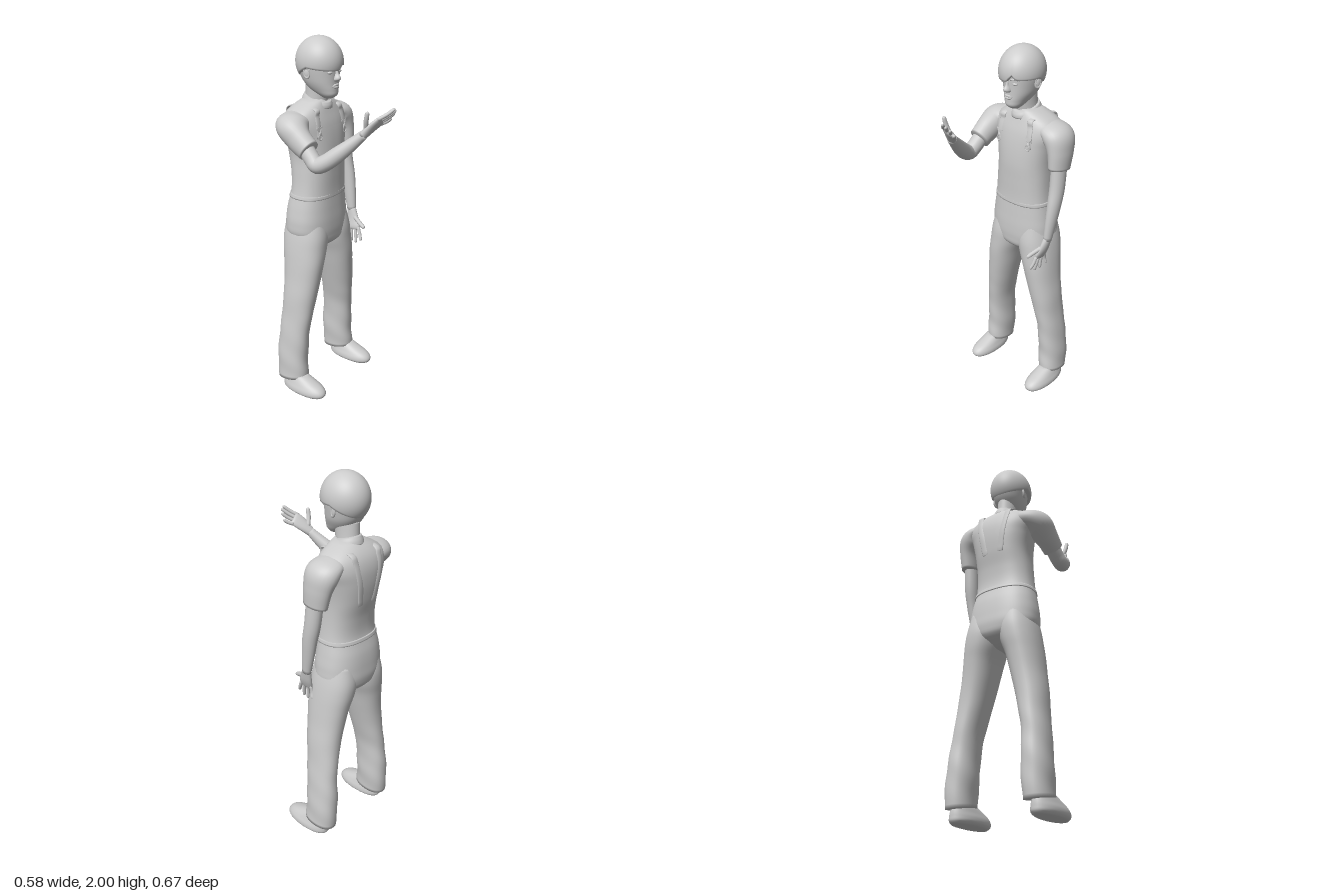
import * as THREE from 'three';
import { ParametricGeometry } from 'three/addons/geometries/ParametricGeometry.js';

const grey = new THREE.MeshStandardMaterial({ color: 0xcccccc, side: THREE.DoubleSide });
const V = (x, y, z) => new THREE.Vector3(x, y, z);

function add(parent, name, geometry) {
  const mesh = new THREE.Mesh(geometry, grey);
  mesh.name = name;
  parent.add(mesh);
  return mesh;
}

// Closed skin over rings of points, capped at both ends
function skin(rings) {
  const n = rings[0].length, pos = [], index = [];
  rings.forEach(r => r.forEach(p => pos.push(p.x, p.y, p.z)));
  for (let i = 0; i < rings.length - 1; i++) for (let j = 0; j < n; j++) {
    const a = i * n + j, b = i * n + (j + 1) % n;
    index.push(a, b, b + n, a, b + n, a + n);
  }
  [0, rings.length - 1].forEach((i, end) => {
    const c = rings[i].reduce((s, p) => s.add(p), V(0, 0, 0)).divideScalar(n);
    const k = pos.length / 3;
    pos.push(c.x, c.y, c.z);
    for (let j = 0; j < n; j++) {
      const a = i * n + j, b = i * n + (j + 1) % n;
      index.push(...(end ? [k, a, b] : [k, b, a]));
    }
  });
  const g = new THREE.BufferGeometry();
  g.setAttribute('position', new THREE.Float32BufferAttribute(pos, 3));
  g.setIndex(index);
  g.computeVertexNormals();
  return g;
}

// Smooth interpolation between rows of numbers
function rowsAt(times, rows) {
  const curve = new THREE.CubicInterpolant(times, rows.flat(), rows[0].length);
  return t => Array.from(curve.evaluate(t));
}

// Upright form; rows are [y, xMin, xMax, zMin, zMax, tilt], y rising
function loft(rows, { power = 2, steps = 24, n = 40, folds = 0 } = {}) {
  const at = rowsAt(rows.map(r => r[0]), rows.map(r => r.slice(1).concat(r.length < 6 ? [0] : [])));
  const y0 = rows[0][0], y1 = rows[rows.length - 1][0], rings = [];
  for (let i = 0; i <= steps; i++) {
    const y = y0 + (y1 - y0) * i / steps, [xa, xb, za, zb, tilt] = at(y), ring = [];
    for (let j = 0; j < n; j++) {
      const a = j / n * Math.PI * 2, c = Math.cos(a), s = -Math.sin(a);
      const k = 1 + folds * Math.sin(y * 38 + a * 2) * Math.max(0, 1 - y / 0.65);
      const e = v => Math.sign(v) * Math.abs(v) ** (2 / power) * k;
      ring.push(V((xa + xb) / 2 + (xb - xa) / 2 * e(c), y + tilt * s, (za + zb) / 2 + (zb - za) / 2 * e(s)));
    }
    rings.push(ring);
  }
  return skin(rings);
}

// Limb along a path; rows are [x, y, z, radius along ref, other radius]
function limb(rows, ref, n = 20, sub = 5) {
  const at = rowsAt(rows.map((r, i) => i), rows), last = rows.length - 1, rings = [];
  const point = t => V(...at(t).slice(0, 3));
  for (let i = 0; i <= last * sub; i++) {
    const t = i / sub, [, , , ra, rb] = at(t), p = point(t);
    const dir = point(Math.min(last, t + 0.05)).sub(point(Math.max(0, t - 0.05))).normalize();
    const side = ref.clone().addScaledVector(dir, -ref.dot(dir)).normalize();
    const up = dir.clone().cross(side);
    rings.push(Array.from({ length: n }, (_, j) => {
      const a = j / n * Math.PI * 2;
      return p.clone().addScaledVector(side, ra * Math.cos(a)).addScaledVector(up, rb * Math.sin(a));
    }));
  }
  return skin(rings);
}

function finger(parent, name, a, b, c, r) {
  add(parent, name, limb([[...a, r, r], [...b, r, r], [...b.map((v, i) => v + (c[i] - v) * 0.8), r * 0.85, r * 0.85],
    [...c, r * 0.3, r * 0.3]], V(0.3, 0.2, 0.9), 10, 4));
}

const TORSO = [
  [0.86, -0.03, 0.03, -0.24, -0.13], [0.90, -0.13, 0.13, -0.31, -0.08], [0.95, -0.185, 0.18, -0.33, -0.068],
  [1.02, -0.195, 0.185, -0.33, -0.065], [1.10, -0.185, 0.175, -0.322, -0.068], [1.2, -0.165, 0.16, -0.30, -0.072],
  [1.3, -0.155, 0.155, -0.305, -0.07], [1.4, -0.152, 0.158, -0.325, -0.068], [1.5, -0.17, 0.175, -0.335, -0.075],
  [1.57, -0.19, 0.195, -0.33, -0.087], [1.62, -0.178, 0.182, -0.312, -0.102], [1.655, -0.125, 0.128, -0.285, -0.113],
  [1.685, -0.06, 0.06, -0.25, -0.125]];
const POWER = 2.4;
const torsoAt = rowsAt(TORSO.map(r => r[0]), TORSO.map(r => r.slice(1)));

// Depth of the torso's front (+1) or back (-1) surface
function torsoZ(x, y, side) {
  const [xa, xb, za, zb] = torsoAt(y);
  const u = Math.min(1, Math.abs((x - (xa + xb) / 2) / ((xb - xa) / 2)));
  return (za + zb) / 2 + side * (zb - za) / 2 * (1 - u ** POWER) ** (1 / POWER);
}

function buildClothes(g) {
  add(g, 'torso', loft(TORSO, { power: POWER, steps: 64, n: 56 }));
  const grow = y => torsoAt(y).map((v, i) => v + (i % 2 ? 0.004 : -0.004));
  add(g, 'waistband', loft([1.165, 1.175, 1.185].map(y => [y, ...grow(y)]), { power: POWER, steps: 4, n: 56 }));
  add(g, 'bib', new ParametricGeometry((u, v, p) => {
    const y = 1.18 + v * 0.37, x = (u - 0.5) * 2 * (0.135 - 0.015 * v);
    p.set(x, y, torsoZ(x, y, 1) + 0.004);
  }, 20, 20));
  add(g, 'collar', loft([[1.65, -0.075, 0.075, -0.272, -0.1, -0.015], [1.67, -0.07, 0.07, -0.266, -0.1, -0.018],
    [1.69, -0.06, 0.06, -0.255, -0.108, -0.02]], { steps: 6 }));
  for (const s of [1, -1]) {
    const name = s > 0 ? 'left' : 'right';
    // Strap over the shoulder, closing in down the back
    const path = [[0.1, 1.5, 1], [0.099, 1.56, 1], [0.095, 1.61, 1], [0.09, 1.645, 1], [0.088, 1.645, -1],
      [0.082, 1.6, -1], [0.065, 1.5, -1], [0.045, 1.38, -1]];
    add(g, name + 'Strap', limb(path.map(([x, y, f]) => [s * x, y, torsoZ(s * x, y, f), 0.018, 0.005]), V(1, 0, 0), 12));
    // Wire buckle, button and adjuster
    const buckle = new THREE.Group();
    buckle.name = name + 'Buckle';
    buckle.position.set(s * 0.1, 1.525, torsoZ(s * 0.1, 1.525, 1) + 0.006);
    buckle.rotation.x = -0.15;
    add(buckle, 'loop', new THREE.TorusGeometry(0.014, 0.003, 6, 16)).position.y = -0.018;
    add(buckle, 'button', new THREE.SphereGeometry(0.009, 12, 8)).scale.z = 0.5;
    add(buckle, 'adjuster', new THREE.BoxGeometry(0.04, 0.007, 0.006)).position.y = 0.03;
    for (const k of [1, -1]) add(buckle, 'wire', limb([[k * 0.01, -0.01, 0, 0.003, 0.003], [k * 0.007, 0.01, 0, 0.003, 0.003],
      [k * 0.018, 0.03, 0, 0.003, 0.003]], V(0, 0, 1), 6));
    g.add(buckle);
    // Trouser leg with soft folds below the knee
    const leg = [[0.075, 0.15, 0.283, -0.312, -0.125, 0.015], [0.2, 0.142, 0.28, -0.318, -0.13, 0],
      [0.4, 0.135, 0.262, -0.303, -0.118, 0], [0.5, 0.115, 0.25, -0.298, -0.105, 0], [0.6, 0.09, 0.242, -0.295, -0.092, 0],
      [0.7, 0.065, 0.228, -0.3, -0.08, 0], [0.8, 0.04, 0.217, -0.312, -0.07, 0], [0.88, 0.012, 0.207, -0.325, -0.068, 0],
      [0.95, 0, 0.195, -0.328, -0.068, 0], [1.05, 0.01, 0.17, -0.31, -0.085, 0]];
    const mirrored = rows => rows.map(([y, a, b, ...r]) => s > 0 ? [y, a, b, ...r] : [y, -b, -a, ...r]);
    add(g, name + 'TrouserLeg', loft(mirrored(leg), { power: 2.2, steps: 56, folds: 0.03 }));
    add(g, name + 'Shoe', loft(mirrored([[0, 0.175, 0.275, -0.262, -0.005], [0.012, 0.162, 0.287, -0.273, 0.01],
      [0.035, 0.16, 0.289, -0.275, 0.013], [0.06, 0.168, 0.28, -0.273, -0.012], [0.08, 0.175, 0.272, -0.268, -0.06],
      [0.105, 0.185, 0.262, -0.262, -0.125]]), { power: 2.2, steps: 18 }));
  }
}

function buildArms(g) {
  // Left arm hanging at the side
  const Z = V(0, 0, 1);
  add(g, 'leftSleeve', limb([[0.11, 1.59, -0.21, 0.07, 0.045], [0.16, 1.587, -0.21, 0.09, 0.05], [0.2, 1.555, -0.208, 0.094, 0.068],
    [0.221, 1.49, -0.2, 0.083, 0.055], [0.226, 1.4, -0.19, 0.07, 0.046]], Z, 28, 8));
  add(g, 'leftForearm', limb([[0.226, 1.45, -0.19, 0.048, 0.038], [0.23, 1.3, -0.175, 0.045, 0.038], [0.231, 1.2, -0.155, 0.042, 0.034],
    [0.227, 1.1, -0.138, 0.036, 0.028], [0.222, 1.0, -0.122, 0.026, 0.021]], Z));
  add(g, 'leftPalm', limb([[0.222, 1.01, -0.123, 0.026, 0.02], [0.212, 0.95, -0.107, 0.038, 0.017],
    [0.2, 0.91, -0.095, 0.042, 0.014], [0.197, 0.893, -0.092, 0.034, 0.008]], Z));
  [[-0.06, 0.185, 0.84, -0.03], [-0.083, 0.185, 0.818, -0.065], [-0.106, 0.192, 0.818, -0.1], [-0.127, 0.203, 0.838, -0.142]]
    .forEach(([z, x, y, tz]) => finger(g, 'leftFinger', [0.2, 0.91, z], [0.195, 0.872, (z + tz) / 2], [x, y, tz], 0.0095));
  finger(g, 'leftThumb', [0.212, 0.965, -0.095], [0.192, 0.94, -0.04], [0.182, 0.925, -0.005], 0.012);

  // Right arm raised, palm turned up and back
  const Y = V(0, 1, 0), across = V(0.83, -0.51, -0.23);
  add(g, 'rightSleeve', limb([[-0.11, 1.585, -0.21, 0.05, 0.075], [-0.16, 1.58, -0.208, 0.058, 0.088], [-0.2, 1.56, -0.18, 0.074, 0.085],
    [-0.22, 1.515, -0.125, 0.07, 0.062], [-0.224, 1.47, -0.06, 0.06, 0.054]], Y, 28, 8));
  add(g, 'rightForearm', limb([[-0.224, 1.49, -0.09, 0.042, 0.042], [-0.232, 1.435, -0.035, 0.042, 0.041], [-0.237, 1.41, 0.0, 0.042, 0.041],
    [-0.225, 1.43, 0.045, 0.042, 0.041], [-0.2, 1.475, 0.1, 0.04, 0.037], [-0.165, 1.535, 0.165, 0.031, 0.029],
    [-0.14, 1.58, 0.21, 0.023, 0.024]], Y));
  add(g, 'rightPalm', limb([[-0.145, 1.572, 0.204, 0.024, 0.021], [-0.118, 1.612, 0.238, 0.036, 0.018],
    [-0.092, 1.643, 0.268, 0.04, 0.014], [-0.083, 1.652, 0.278, 0.034, 0.008]], across));
  [[-0.06, 1.71, 0.335], [-0.043, 1.7, 0.33], [-0.03, 1.682, 0.315], [-0.025, 1.652, 0.295]].forEach((tip, i) => {
    const root = V(-0.092, 1.643, 0.268).addScaledVector(across, (i - 1.5) * 0.021).toArray();
    finger(g, 'rightFinger', root, root.map((v, k) => (v + tip[k]) / 2 - (k === 1 ? 0.004 : 0)), tip, 0.0095);
  });
  finger(g, 'rightThumb', [-0.135, 1.605, 0.222], [-0.15, 1.652, 0.232], [-0.155, 1.7, 0.243], 0.012);
}

function buildHead(g) {
  add(g, 'neck', loft([[1.62, -0.06, 0.06, -0.26, -0.13], [1.68, -0.054, 0.052, -0.25, -0.12], [1.77, -0.055, 0.05, -0.245, -0.1]]));
  add(g, 'face', loft([[1.695, -0.035, 0.02, -0.13, -0.075], [1.71, -0.05, 0.034, -0.16, -0.056], [1.735, -0.066, 0.05, -0.21, -0.052],
    [1.77, -0.082, 0.068, -0.245, -0.053], [1.81, -0.092, 0.078, -0.268, -0.052], [1.85, -0.098, 0.084, -0.28, -0.05],
    [1.9, -0.1, 0.086, -0.275, -0.05], [1.95, -0.08, 0.066, -0.25, -0.07]], { power: 2.15, steps: 40, n: 48 }));
  add(g, 'nose', loft([[1.783, -0.02, 0.004, -0.07, -0.046], [1.79, -0.026, 0.01, -0.075, -0.03], [1.8, -0.025, 0.009, -0.075, -0.025],
    [1.82, -0.017, 0.001, -0.075, -0.037], [1.85, -0.015, -0.001, -0.075, -0.047]], { n: 20, steps: 16 }));
  [[1.765, 0.006], [1.754, 0.007]].forEach(([y, r]) => add(g, 'lip', limb([[-0.032, 1.759, -0.06, 0.002, 0.003],
    [-0.02, y, -0.051, r, 0.006], [-0.008, y, -0.049, r, 0.006], [0.004, y, -0.051, r, 0.006], [0.016, 1.759, -0.06, 0.002, 0.003]], V(0, 1, 0), 10)));
  for (const s of [1, -1]) {
    const x = -0.008;
    const eye = add(g, 'eye', new THREE.SphereGeometry(0.015, 16, 10));
    eye.position.set(x + s * 0.036, 1.829, -0.064);
    eye.scale.set(1.1, 0.5, 0.75);
    add(g, 'brow', limb([[x + s * 0.016, 1.848, -0.053, 0.004, 0.004], [x + s * 0.038, 1.853, -0.058, 0.005, 0.005],
      [x + s * 0.06, 1.846, -0.075, 0.003, 0.003]], V(0, 1, 0), 10));
    const ear = new THREE.Group();
    ear.name = 'ear';
    ear.position.set(x + s * 0.093, 1.825, -0.168);
    ear.rotation.set(-0.15, s * (Math.PI / 2 - 0.35), 0);
    ear.scale.set(0.62, 1, 0.8);
    add(ear, 'earRim', new THREE.TorusGeometry(0.024, 0.007, 8, 24));
    add(ear, 'earBowl', new THREE.SphereGeometry(0.023, 16, 10)).scale.z = 0.3;
    g.add(ear);
  }
  // Hair cap: long at the nape, fringe swept to the right
  const rings = [], n = 72, steps = 26;
  for (let i = 0; i <= steps; i++) rings.push(Array.from({ length: n }, (_, j) => {
    const a = j / n * Math.PI * 2, x = Math.cos(a), z = -Math.sin(a);
    const back = Math.max(0, -z), front = Math.max(0, z);
    const parting = Math.exp(-(((x - 0.28) / 0.16) ** 2)) * front;
    const low = 1.72 + 0.5 * back + 0.12 * front * (x < 0.28 ? 1 : 0) - 0.22 * parting;
    const t = i === 0 ? 1 : 1 - (i - 1) / (steps - 0.98);
    const phi = low * t, r = i === 0 ? 0.9 : 1;
    return V(-0.009 + 0.113 * r * x * Math.sin(phi), 1.872 + 0.128 * Math.cos(phi), -0.158 + 0.129 * r * z * Math.sin(phi));
  }));
  add(g, 'hair', skin(rings));
}

export function createModel() {
  const model = new THREE.Group();
  model.name = 'standingFigure';
  for (const [name, build] of [['clothes', buildClothes], ['arms', buildArms], ['head', buildHead]]) {
    const part = new THREE.Group();
    part.name = name;
    build(part);
    model.add(part);
  }
  return model;
}
